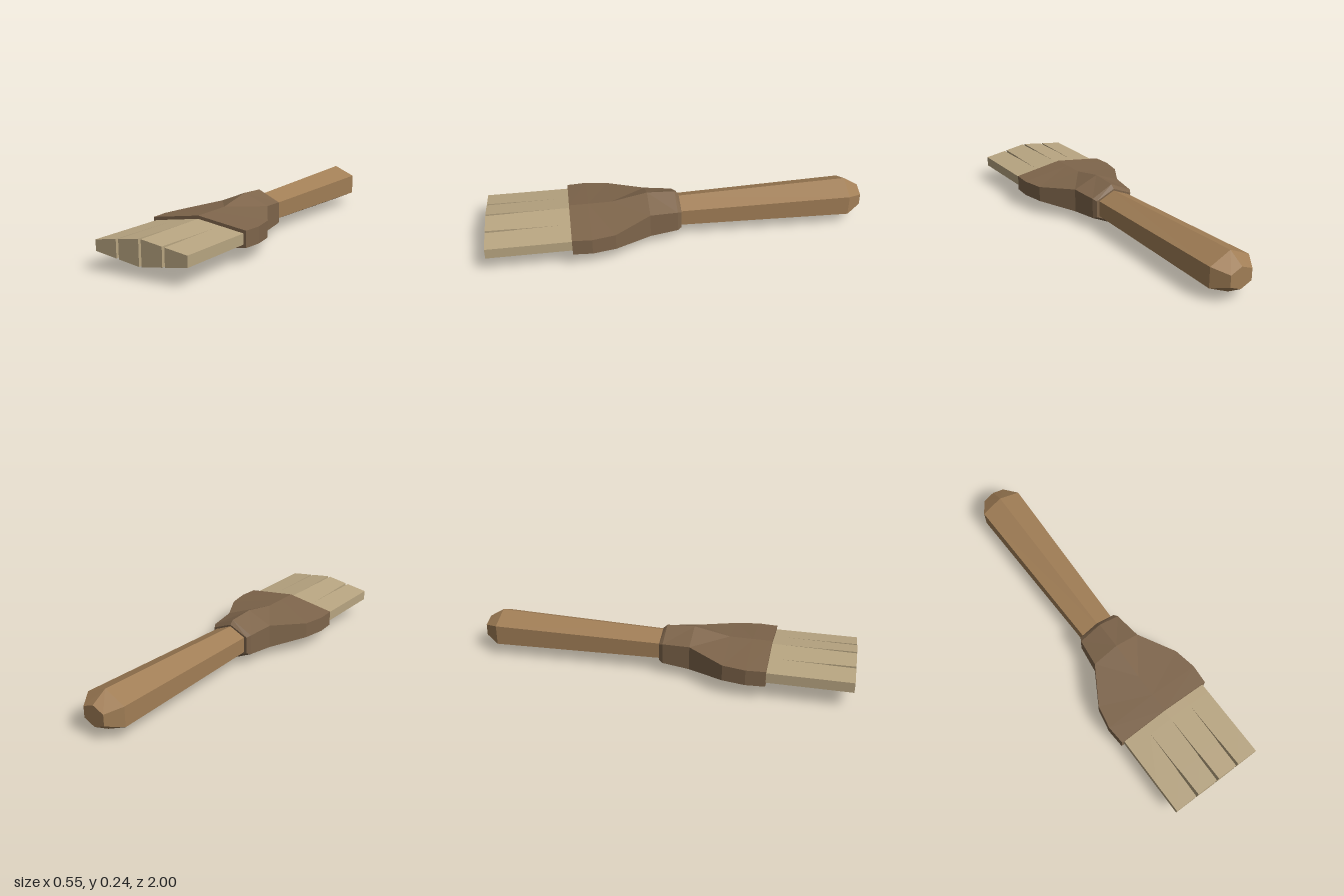
import * as THREE from 'three';

const MID = 0.121; // height of the brush's long axis

// Skin closed rings (counter-clockwise seen from +z, ordered by rising z) and cap both ends
function loft(rings) {
  const pos = [];
  const tri = (a, b, c) => pos.push(...a, ...b, ...c);
  for (let k = 0; k < rings.length - 1; k++) {
    const a = rings[k], b = rings[k + 1];
    for (let i = 0; i < a.length; i++) {
      const j = (i + 1) % a.length;
      if (i % 3 === 0) { // mirrored diagonal keeps both halves symmetric
        tri(a[i], a[j], b[i]);
        tri(a[j], b[j], b[i]);
      } else {
        tri(a[i], a[j], b[j]);
        tri(a[i], b[j], b[i]);
      }
    }
  }
  const first = rings[0], last = rings[rings.length - 1];
  for (let i = 1; i < first.length - 1; i++) {
    tri(first[0], first[i + 1], first[i]);
    tri(last[0], last[i], last[i + 1]);
  }
  const g = new THREE.BufferGeometry();
  g.setAttribute('position', new THREE.Float32BufferAttribute(pos, 3));
  g.computeVertexNormals();
  return g;
}

// Flattened hexagon: half width w, half height s at the sides and h at the centre
const hex = ([z, w, s, h]) => [
  [0, -h], [w, -s], [w, s], [0, h], [-w, s], [-w, -s],
].map(([x, y]) => [x, MID + y, z]);

export function createModel() {
  const group = new THREE.Group();
  group.name = 'paintbrush';

  const material = (name, color) => {
    const m = new THREE.MeshStandardMaterial({ color, flatShading: true });
    m.name = name;
    return m;
  };
  const handleWood = material('handle wood', 0xa17e56);
  const ferruleBrown = material('ferrule brown', 0x7e654b);
  const bristleTan = material('bristle tan', 0xb8a581);

  const add = (name, geometry, mat) => {
    const mesh = new THREE.Mesh(geometry, mat);
    mesh.name = name;
    group.add(mesh);
  };

  // Handle, swelling toward the bevelled butt
  add('handle', loft([
    [-1, 0.063, 0.03, 0.056],
    [-0.92, 0.115, 0.053, 0.105],
    [0.02, 0.091, 0.042, 0.082],
  ].map(hex)), handleWood);

  // Ferrule, flaring from the narrow neck to the wide mouth
  add('ferrule', loft([
    [-0.008, 0.108, 0.046, 0.092],
    [0.014, 0.12, 0.055, 0.112],
    [0.16, 0.138, 0.064, 0.119],
    [0.35, 0.252, 0.042, 0.081],
    [0.47, 0.275, 0.041, 0.08],
    [0.57, 0.268, 0.041, 0.08],
  ].map(hex)), ferruleBrown);

  // Four bristle tufts, parted by slits that widen toward the tip
  const edges = [-0.253, -0.127, 0, 0.127, 0.253];
  const halfHeight = (x) => 0.064 - 0.148 * Math.abs(x);
  const stations = [[0.54, 0], [0.62, 0], [0.84, 0.003], [0.86, 0.005], [1, 0.007]];
  for (let t = 0; t < 4; t++) {
    const rings = stations.map(([z, gap]) => {
      const x0 = edges[t] + (t > 0 ? gap : 0);
      const x1 = edges[t + 1] - (t < 3 ? gap : 0);
      const h0 = halfHeight(x0), h1 = halfHeight(x1);
      return [[x0, MID - h0, z], [x1, MID - h1, z], [x1, MID + h1, z], [x0, MID + h0, z]];
    });
    add(`bristleTuft${t + 1}`, loft(rings), bristleTan);
  }

  return group;
}
